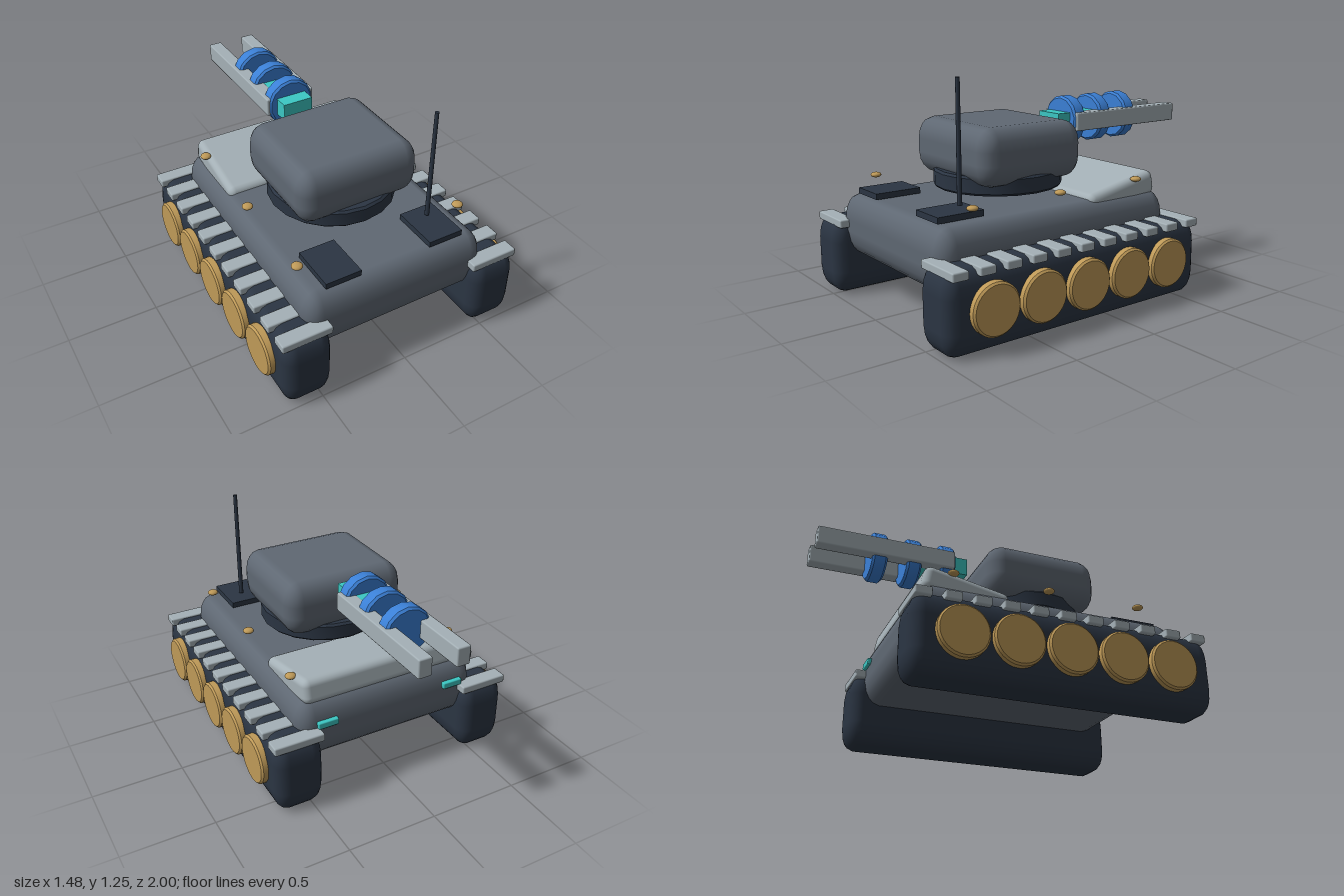
import * as THREE from 'three';
import { toCreasedNormals } from 'three/addons/utils/BufferGeometryUtils.js';
import { RoundedBoxGeometry } from 'three/addons/geometries/RoundedBoxGeometry.js';

function material(name, color) {
  const m = new THREE.MeshStandardMaterial({ color });
  m.name = name;
  return m;
}

// Box with rounded corners; stretch makes the corners taller than they are wide
function roundedBox(w, h, d, radius, stretch = 1, segments = 2) {
  return new RoundedBoxGeometry(w, h / stretch, d, segments, radius).scale(1, stretch, 1);
}

// Solid disc about y with bevelled rims
function disc(r, h, bevel, segments) {
  const profile = [
    [0, -h / 2], [r - bevel, -h / 2], [r, -h / 2 + bevel],
    [r, h / 2 - bevel], [r - bevel, h / 2], [0, h / 2],
  ].map(([x, y]) => new THREE.Vector2(x, y));
  return toCreasedNormals(new THREE.LatheGeometry(profile, segments), 0.5);
}

export function createModel() {
  const tank = new THREE.Group();
  tank.name = 'tank';

  const dark = material('darkNavy', 0x2b3543);
  const hullGrey = material('hullGrey', 0x5f6873);
  const lightGrey = material('lightGrey', 0xa5b1b7);
  const gold = material('gold', 0xbf9a58);
  const blue = material('blue', 0x3b80d6);
  const cyan = material('cyan', 0x3cc8c4);

  function add(name, geometry, mat, x, y, z, parent = tank) {
    const mesh = new THREE.Mesh(geometry, mat);
    mesh.name = name;
    mesh.position.set(x, y, z);
    parent.add(mesh);
    return mesh;
  }

  // Hull and tilted armour plate
  add('hull', roundedBox(1.07, 0.342, 1.48, 0.09, 1.55), hullGrey, 0, 0.396, 0.18);
  const plate = add('armourPlate', roundedBox(0.968, 0.14, 0.47, 0.04), lightGrey, 0, 0.567, -0.277);
  plate.rotation.x = 0.2;

  // Shared geometry for the running gear and deck details
  const trackGeo = roundedBox(0.27, 0.42, 1.63, 0.07, 1.8);
  const padGeo = roundedBox(0.28, 0.046, 0.088, 0.008, 1, 1);
  const wheelGeo = disc(0.134, 0.06, 0.01, 32).rotateZ(Math.PI / 2);
  const boltGeo = new THREE.SphereGeometry(0.03, 16, 10).scale(1, 0.5, 1);
  const ventGeo = new THREE.BoxGeometry(0.203, 0.032, 0.265);
  const lightGeo = roundedBox(0.117, 0.037, 0.03, 0.006, 1, 1);

  for (const side of [-1, 1]) {
    const label = side > 0 ? 'left' : 'right';
    const gear = new THREE.Group();
    gear.name = label + 'RunningGear';
    tank.add(gear);

    add('track', trackGeo, dark, side * 0.567, 0.21, 0.183, gear);
    for (let i = 0; i < 11; i++) {
      add('trackPad', padGeo, lightGrey, side * 0.567, 0.407, 0.928 - i * 0.1503, gear);
    }
    for (let i = 0; i < 5; i++) {
      add('roadWheel', wheelGeo, gold, side * 0.709, 0.22, 0.75 - i * 0.283, gear);
    }

    // Deck details
    for (const z of [0.717, 0.18, -0.355]) {
      add(label + 'Bolt', boltGeo, gold, side * 0.486, 0.645, z);
    }
    add(label + 'Vent', ventGeo, dark, side * 0.307, 0.589, 0.73);
    add(label + 'Headlight', lightGeo, cyan, side * 0.382, 0.447, -0.564);
  }

  // Turret
  add('turretRing', disc(0.353, 0.1, 0.012, 20), dark, 0, 0.669, 0.225);
  add('turret', roundedBox(0.714, 0.31, 0.645, 0.088, 1.35), hullGrey, 0, 0.825, 0.225);

  // Twin rail gun
  const gun = new THREE.Group();
  gun.name = 'railGun';
  gun.position.y = 0.929;
  tank.add(gun);
  add('powerCore', new THREE.BoxGeometry(0.176, 0.1, 0.31), cyan, 0, 0, -0.29, gun);
  const railGeo = roundedBox(0.076, 0.104, 0.775, 0.008, 1, 1);
  for (const side of [-1, 1]) add('rail', railGeo, lightGrey, side * 0.108, 0, -0.6125, gun);
  const coilGeo = disc(0.138, 0.085, 0.012, 14).rotateX(Math.PI / 2);
  for (const z of [-0.259, -0.453, -0.647]) add('coil', coilGeo, blue, 0, 0, z, gun);

  // Antenna
  add('antenna', new THREE.CylinderGeometry(0.011, 0.013, 0.63, 10), dark, 0.317, 0.935, 0.68);

  return tank;
}
